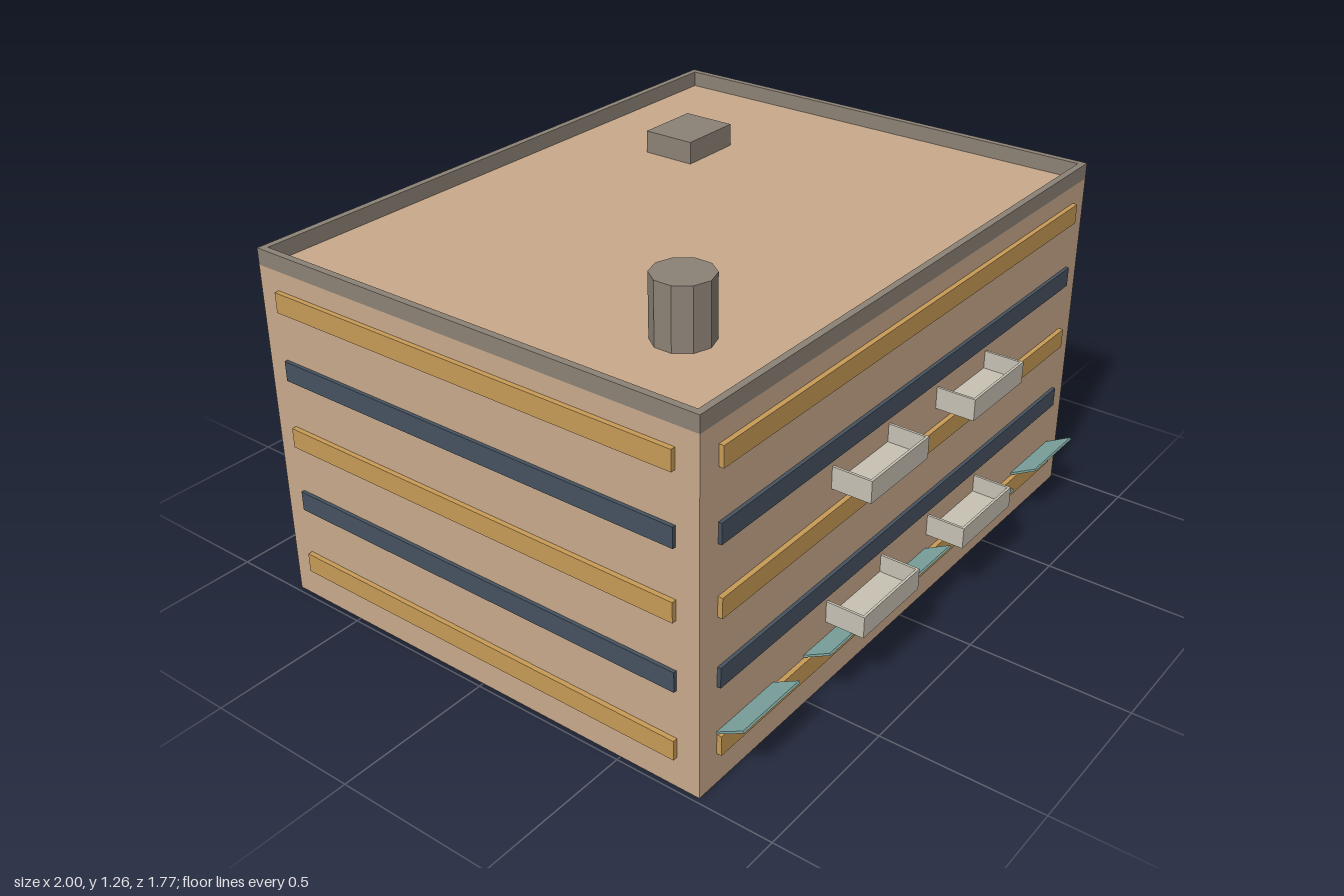
import * as THREE from 'three';

const material = (name, color) => {
  const m = new THREE.MeshStandardMaterial({ color });
  m.name = name;
  return m;
};

export function createModel() {
  const wall = material('tan wall', 0xc9aa8c);
  const grey = material('roof grey', 0x8c8276);
  const gold = material('gold band', 0xc89b57);
  const navy = material('navy band', 0x465260);
  const pale = material('pale balcony', 0xc8c2b4);
  const teal = material('teal awning', 0x80a8a3);

  const model = new THREE.Group();
  model.name = 'building';
  const W = 0.985, D = 0.762, H = 1.08;

  // Box given by its min and max corners
  const box = (parent, name, mat, [x0, x1], [y0, y1], [z0, z1]) => {
    const mesh = new THREE.Mesh(new THREE.BoxGeometry(x1 - x0, y1 - y0, z1 - z0), mat);
    mesh.position.set((x0 + x1) / 2, (y0 + y1) / 2, (z0 + z1) / 2);
    mesh.name = name;
    parent.add(mesh);
    return mesh;
  };

  box(model, 'body', wall, [-W, W], [0, H], [-D, D]);

  // Parapet: one ring with a hole
  const rect = (Type, x, z) => {
    const s = new Type();
    s.moveTo(-x, -z).lineTo(x, -z).lineTo(x, z).lineTo(-x, z).closePath();
    return s;
  };
  const ring = rect(THREE.Shape, W, D);
  ring.holes.push(rect(THREE.Path, W - 0.021, D - 0.021));
  const parapet = new THREE.Mesh(
    new THREE.ExtrudeGeometry(ring, { depth: 0.05, bevelEnabled: false }).rotateX(-Math.PI / 2), grey);
  parapet.position.y = H;
  parapet.name = 'parapet';
  model.add(parapet);

  // Roof equipment
  box(model, 'roofUnit', grey, [0.34, 0.553], [H, 1.152], [-0.458, -0.283]);
  const tankGeometry = new THREE.CylinderGeometry(0.088, 0.088, 0.185, 10).toNonIndexed();
  tankGeometry.computeVertexNormals();
  const tank = new THREE.Mesh(tankGeometry, grey);
  tank.position.set(-0.63, H + 0.0925, 0.44);
  tank.name = 'roofTank';
  model.add(tank);

  // Alternating bands on the four sides
  for (let i = 0; i < 5; i++) {
    const mat = i % 2 ? navy : gold;
    const out = i % 2 ? 0.011 : 0.015;
    const y = [0.098 + 0.2152 * i, 0.16 + 0.2152 * i];
    const name = i % 2 ? 'windowBand' : 'trimBand';
    box(model, name + 'Front', mat, [-0.912, 0.912], y, [D - 0.005, D + out]);
    box(model, name + 'Back', mat, [-0.912, 0.912], y, [-D - out, -D + 0.005]);
    box(model, name + 'Left', mat, [W - 0.005, W + out], y, [-0.69, 0.69]);
    box(model, name + 'Right', mat, [-W - out, -W + 0.005], y, [-0.69, 0.69]);
  }

  // Balconies and awnings, the same on front and back
  for (const side of [1, -1]) {
    const facade = new THREE.Group();
    facade.name = side > 0 ? 'frontFittings' : 'backFittings';
    facade.rotation.y = side > 0 ? 0 : Math.PI;
    model.add(facade);

    for (const y of [0.219, 0.649]) for (const x of [-0.27, 0.27]) {
      const balcony = new THREE.Group();
      balcony.name = 'balcony';
      balcony.position.set(x, y, D);
      facade.add(balcony);
      const h = 0.144, t = 0.008, out = 0.122;
      box(balcony, 'balconyFloor', pale, [-h, h], [0, 0.012], [0, out]);
      box(balcony, 'balconyFront', pale, [-h, h], [0.012, 0.068], [out - t, out]);
      box(balcony, 'balconyLeft', pale, [h - t, h], [0.012, 0.068], [0, out - t]);
      box(balcony, 'balconyRight', pale, [-h, t - h], [0.012, 0.068], [0, out - t]);
    }

    // Awnings rise outwards from the wall
    for (let i = -2; i <= 2; i++) {
      const awning = new THREE.Mesh(new THREE.BoxGeometry(0.25, 0.007, 0.096), teal);
      awning.position.set(i * 0.394, 0.189, D + 0.042);
      awning.rotation.x = -0.5;
      awning.name = 'awning';
      facade.add(awning);
    }
  }
  return model;
}
